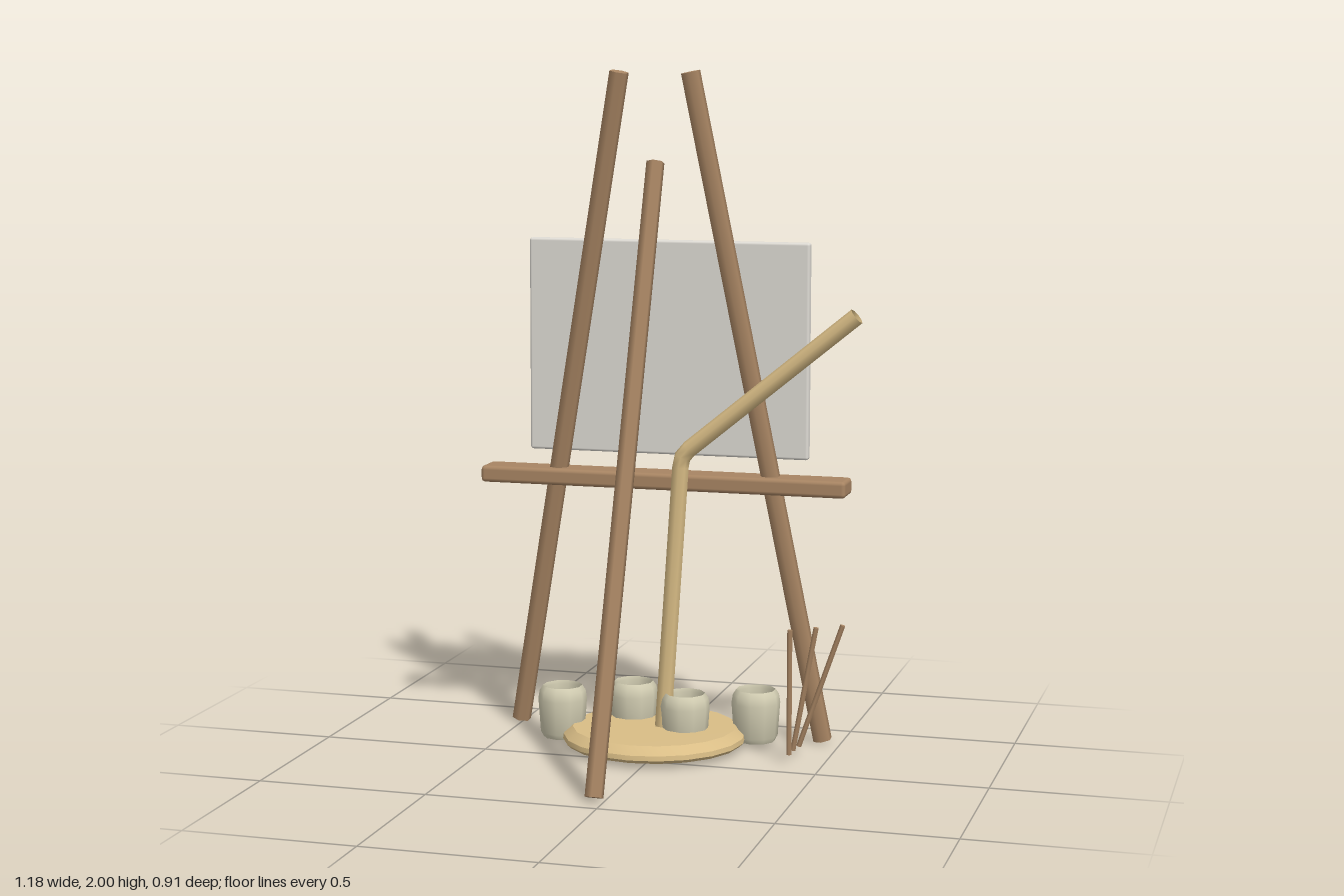
import * as THREE from 'three';
import { RoundedBoxGeometry } from 'three/addons/geometries/RoundedBoxGeometry.js';
import { toCreasedNormals } from 'three/addons/utils/BufferGeometryUtils.js';

const colour = (name, color, side = THREE.FrontSide) => {
  const m = new THREE.MeshStandardMaterial({ color, side });
  m.name = name;
  return m;
};
const V = (x, y, z) => new THREE.Vector3(x, y, z);

export function createModel() {
  const model = new THREE.Group();
  model.name = 'easel';

  const wood = colour('brown wood', 0xa88563);
  const paleWood = colour('pale wood', 0xd9bd86, THREE.DoubleSide);
  const clay = colour('cream pot', 0xd3ceb3, THREE.DoubleSide);
  const canvasWhite = colour('canvas white', 0xdedbd4);
  const red = colour('red paint', 0xd45a5e);
  const yellow = colour('yellow paint', 0xd8b850);
  const blue = colour('blue paint', 0x5a7fc0);
  const green = colour('green paint', 0x6aa060);

  const add = (name, geometry, material, x = 0, y = 0, z = 0) => {
    const mesh = new THREE.Mesh(geometry, material);
    mesh.name = name;
    mesh.position.set(x, y, z);
    model.add(mesh);
    return mesh;
  };

  // A straight round stick between two points
  const stick = (name, a, b, r, sides, material) => {
    const dir = b.clone().sub(a);
    const mesh = add(name, new THREE.CylinderGeometry(r, r, dir.length(), sides), material);
    mesh.position.copy(a).add(b).multiplyScalar(0.5);
    mesh.quaternion.setFromUnitVectors(V(0, 1, 0), dir.normalize());
  };

  // Two splayed legs and the long prop leg, all about x = -0.03
  const mid = -0.03;
  for (const [name, s] of [['leftLeg', 1], ['rightLeg', -1]]) {
    stick(name, V(mid + s * 0.475, 0.012, -0.35), V(mid + s * 0.107, 1.995, -0.18), 0.029, 6, wood);
  }
  stick('propLeg', V(mid, 0.012, 0.428), V(mid, 1.735, -0.188), 0.027, 6, wood);

  // Ledge and canvas
  add('ledge', new RoundedBoxGeometry(1.12, 0.05, 0.104, 2, 0.012), wood, mid, 0.79, -0.282);
  add('canvas', new RoundedBoxGeometry(0.86, 0.64, 0.032, 2, 0.008), canvasWhite, mid, 1.18, -0.333);

  // Round palette base
  const disc = [[0, 0.018], [0.262, 0.018], [0.272, 0.028], [0.27, 0.042], [0.243, 0.065], [0, 0.066]]
    .map(([r, y]) => new THREE.Vector2(r, y));
  add('palette', toCreasedNormals(new THREE.LatheGeometry(disc, 20), 0.6), paleWood, mid, 0, -0.18);

  // Bent pole rising from the palette
  const path = new THREE.CurvePath();
  const low = V(0.05, 0.86, -0.18), high = V(0.08, 0.905, -0.18);
  path.add(new THREE.LineCurve3(V(-0.006, 0.02, -0.18), low));
  path.add(new THREE.QuadraticBezierCurve3(low, V(0.053, 0.885, -0.18), high));
  path.add(new THREE.LineCurve3(high, V(0.57, 1.305, -0.18)));
  add('bentPole', new THREE.TubeGeometry(path, 48, 0.025, 8), paleWood);

  // Pots with a ball of paint in each
  const pot = [[0, 0.014], [0.058, 0.014], [0.066, 0.03], [0.073, 0.13], [0.069, 0.155],
    [0.059, 0.17], [0.056, 0.16], [0.06, 0.13], [0.056, 0.04], [0, 0.035]]
    .map(([r, y]) => new THREE.Vector2(r, y));
  const potGeometry = toCreasedNormals(new THREE.LatheGeometry(pot, 10), 0.8);
  const paintGeometry = new THREE.SphereGeometry(0.057, 16, 10);
  [[-0.315, -0.175, red], [-0.125, -0.285, blue], [0.065, -0.18, yellow], [0.255, -0.285, green]]
    .forEach(([x, z, paint], i) => {
      add(`pot${i + 1}`, potGeometry, clay, x, 0, z);
      add(`paint${i + 1}`, paintGeometry, paint, x, 0.085, z).scale.y = 0.8;
    });

  // Three thin brushes fanning out
  [[0.402, 0.402, -0.092], [0.402, 0.468, -0.143], [0.408, 0.536, -0.193]].forEach(([x0, x1, z], i) =>
    stick(`brush${i + 1}`, V(x0, 0.03, z), V(x1, 0.4, z), 0.008, 5, wood));

  return model;
}
